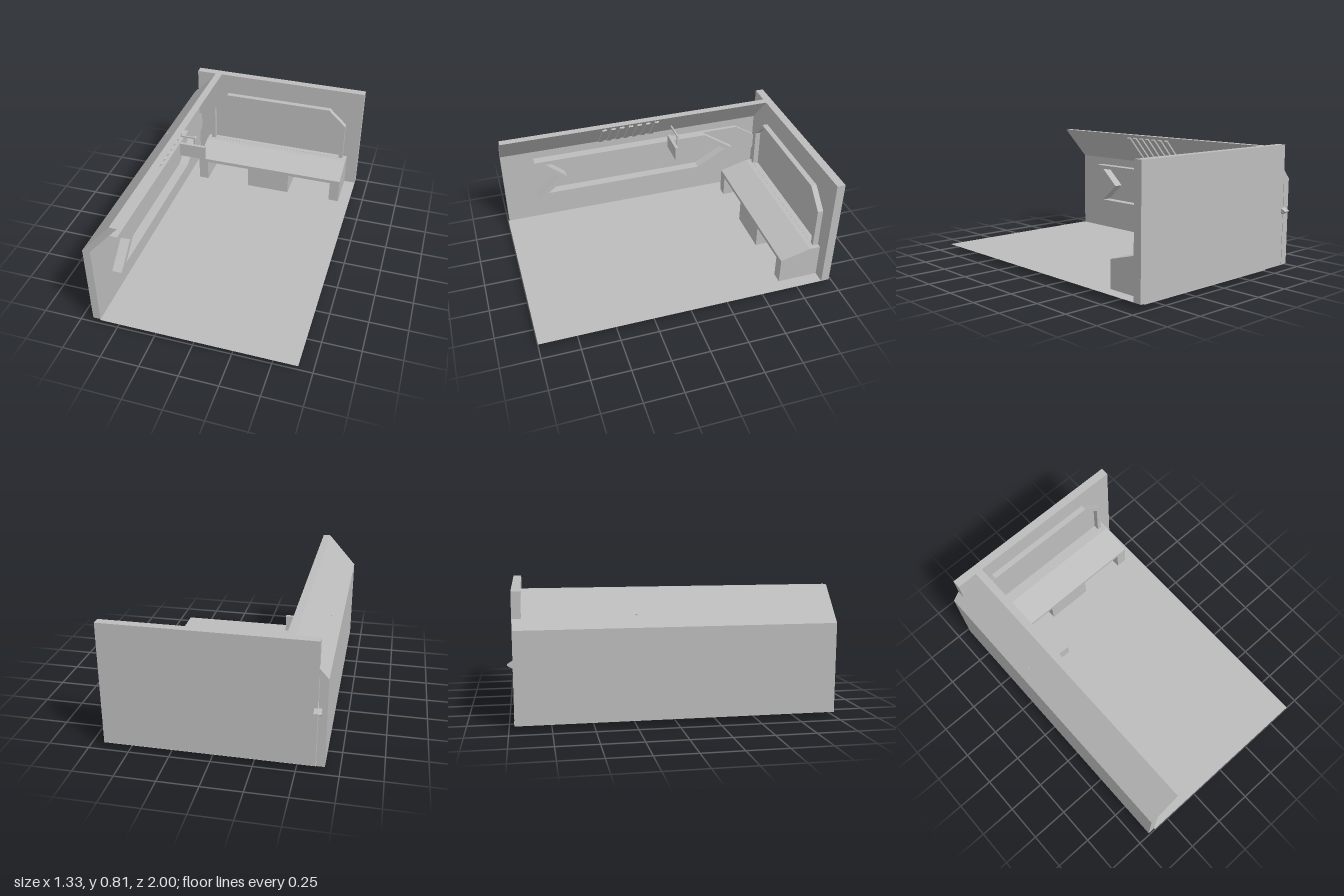
import * as THREE from 'three';

const grey = new THREE.MeshStandardMaterial({ color: 0xbcbcbc });
grey.name = 'plain grey';
const greySheet = new THREE.MeshStandardMaterial({ color: 0xbcbcbc, side: THREE.DoubleSide });
greySheet.name = 'plain grey sheet';

const shape = (pts) => new THREE.Shape(pts.map(([x, y]) => new THREE.Vector2(x, y)));

// Extrude an (x, y) outline from z0 to z1
function alongZ(outline, z0, z1) {
  const g = new THREE.ExtrudeGeometry(outline, { depth: z1 - z0, bevelEnabled: false });
  return g.translate(0, 0, z0);
}

// Extrude an outline drawn as (-z, y) from x0 to x1
function alongX(outline, x0, x1) {
  const g = new THREE.ExtrudeGeometry(outline, { depth: x1 - x0, bevelEnabled: false });
  return g.rotateY(Math.PI / 2).translate(x0, 0, 0);
}

// Box given by its limits
function box(x0, x1, y0, y1, z0, z1) {
  return new THREE.BoxGeometry(x1 - x0, y1 - y0, z1 - z0)
    .translate((x0 + x1) / 2, (y0 + y1) / 2, (z0 + z1) / 2);
}

export function createModel() {
  const model = new THREE.Group();
  model.name = 'roomCorner';
  const add = (name, geometry, parent = model, material = grey) => {
    const mesh = new THREE.Mesh(geometry, material);
    mesh.name = name;
    parent.add(mesh);
    return mesh;
  };

  // Floor sheet and back wall
  add('floor', new THREE.PlaneGeometry(1.275, 1.97).rotateX(-Math.PI / 2)
    .translate(0.0225, 0.03, 0.015), model, greySheet);
  add('backWall', box(-0.61, 0.66, 0.03, 0.81, -0.968, -0.913));

  // Side wall, leaning inwards at the top
  add('sideWall', alongZ(shape([[-0.665, 0.03], [-0.615, 0.03], [-0.615, 0.59],
    [-0.42, 0.81], [-0.47, 0.81], [-0.665, 0.59]]), -0.967, 0.992));

  // Arrow frame on the side wall, with a notched tail
  const arrow = new THREE.Group();
  arrow.name = 'arrowPanel';
  model.add(arrow);
  const frame = shape([[-0.767, 0.24], [0.5, 0.24], [0.725, 0.385], [0.5, 0.535],
    [-0.767, 0.535], [-0.6, 0.385]]);
  frame.holes.push(shape([[-0.69, 0.262], [-0.547, 0.385], [-0.69, 0.508],
    [0.455, 0.508], [0.67, 0.385], [0.455, 0.262]]));
  add('arrowFrame', alongX(frame, -0.62, -0.55), arrow);

  // Thinner arrowhead whose tip pierces the back wall
  add('arrowHead', alongX(shape([[0.5, 0.24], [0.767, 0.24], [1, 0.385], [0.767, 0.535],
    [0.5, 0.535], [0.725, 0.385]]), -0.635, -0.59), arrow);

  // Vent slats on the leaning part of the wall
  const vents = new THREE.Group();
  vents.name = 'vents';
  model.add(vents);
  for (let i = 0; i < 7; i++) {
    const slat = add('ventSlat', new THREE.BoxGeometry(0.247, 0.016, 0.031), vents);
    slat.position.set(-0.5175, 0.694, 0.276 - i * 0.0622);
    slat.rotation.z = Math.atan2(0.22, 0.195);
  }

  // Small screen on a bent rod
  const screen = new THREE.Group();
  screen.name = 'hangingScreen';
  model.add(screen);
  add('screenPlate', box(-0.5, -0.315, 0.525, 0.622, -0.218, -0.196), screen);
  add('rodAcross', box(-0.606, -0.4, 0.653, 0.664, -0.245, -0.234), screen);
  add('rodDown', box(-0.411, -0.4, 0.56, 0.664, -0.245, -0.234), screen);
  add('rodForward', box(-0.411, -0.4, 0.56, 0.571, -0.245, -0.21), screen);

  // Headboard frame with cut corners
  const headboard = shape([[-0.498, 0.255], [0.548, 0.255], [0.548, 0.54], [0.42, 0.66],
    [-0.368, 0.66], [-0.498, 0.54]]);
  headboard.holes.push(shape([[-0.468, 0.264], [-0.468, 0.53], [-0.36, 0.637],
    [0.414, 0.637], [0.52, 0.53], [0.52, 0.264]]));
  add('headboardFrame', alongZ(headboard, -0.92, -0.875));

  // Bench: sloped seat on two legs and a middle block
  const bench = new THREE.Group();
  bench.name = 'bench';
  model.add(bench);
  add('benchSeat', alongX(shape([[0.64, 0.183], [0.914, 0.183], [0.914, 0.263],
    [0.84, 0.263], [0.64, 0.208]]), -0.525, 0.578), bench);
  for (const [name, x0, x1] of [['benchLeg', -0.525, -0.455],
    ['benchBlock', -0.13, 0.185], ['benchLeg', 0.506, 0.578]]) {
    add(name, box(x0, x1, 0, 0.183, -0.914, -0.64), bench);
  }
  add('benchBase', box(-0.525, 0.578, 0, 0.008, -0.914, -0.64), bench);

  return model;
}
